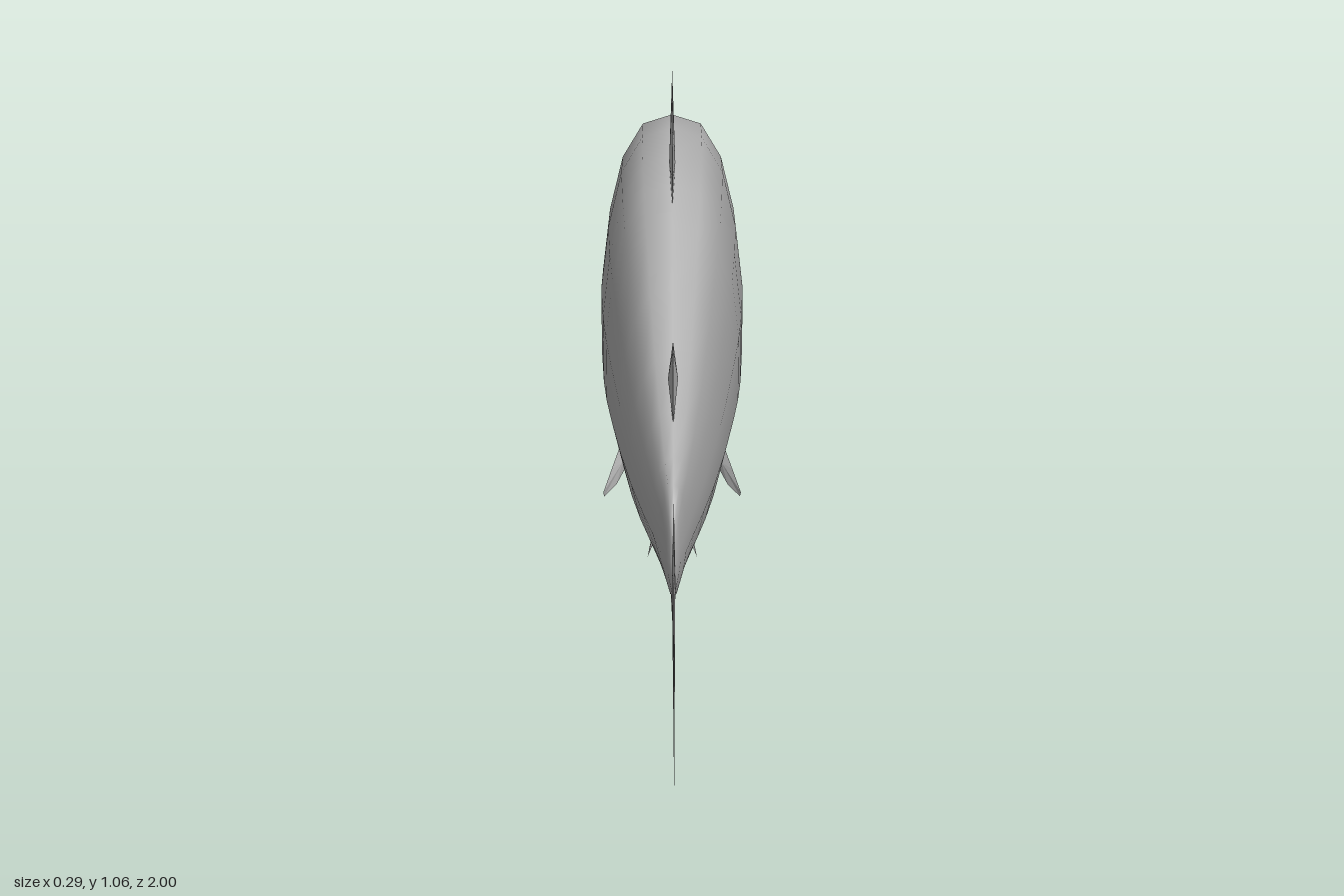
import * as THREE from 'three';
import { toCreasedNormals } from 'three/addons/utils/BufferGeometryUtils.js';

// Half cross-section: [share of half width, share of height], top to bottom
const HALF = [[0, 1], [0.41, 0.976], [0.7, 0.887], [0.89, 0.745], [1, 0.58],
  [1, 0.406], [0.79, 0.246], [0.54, 0.14], [0.25, 0.026], [0, 0]];
const SECTION = [...HALF, ...HALF.slice(1, -1).reverse().map(([x, y]) => [-x, y])];

// Body stations from snout to tail: [z, top, bottom, half width]
const STATIONS = [
  [-0.998, 0.395, 0.345, 0.022], [-0.98, 0.415, 0.292, 0.05], [-0.95, 0.457, 0.245, 0.07],
  [-0.9, 0.535, 0.198, 0.09], [-0.85, 0.603, 0.165, 0.105], [-0.8, 0.662, 0.14, 0.116],
  [-0.72, 0.737, 0.106, 0.128], [-0.6, 0.818, 0.075, 0.14], [-0.47, 0.87, 0.052, 0.146],
  [-0.34, 0.887, 0.043, 0.147], [-0.2, 0.88, 0.053, 0.14], [-0.1, 0.856, 0.08, 0.132],
  [0, 0.818, 0.113, 0.12], [0.15, 0.75, 0.172, 0.1], [0.3, 0.681, 0.238, 0.077],
  [0.42, 0.633, 0.292, 0.056], [0.53, 0.597, 0.342, 0.036], [0.6, 0.582, 0.36, 0.022],
  [0.64, 0.55, 0.39, 0.012], [0.655, 0.52, 0.42, 0.006]];

// Skin a row of closed rings, capped at both ends
function loft(rings, frontTip, backTip) {
  const n = rings[0].length, last = rings.length - 1;
  const pos = [...rings.flat(), frontTip, backTip].flat(), index = [];
  const front = rings.length * n, back = front + 1;
  for (let j = 0; j < n; j++) {
    const k = (j + 1) % n;
    for (let i = 0; i < last; i++) {
      const a = i * n + j, b = i * n + k;
      index.push(a, a + n, b, b, a + n, b + n);
    }
    index.push(front, j, k, back, last * n + k, last * n + j);
  }
  const g = new THREE.BufferGeometry();
  g.setAttribute('position', new THREE.Float32BufferAttribute(pos, 3));
  g.setIndex(index);
  g.computeVertexNormals();
  return g;
}

const ring = ([z, top, bottom, w]) =>
  SECTION.map(([x, t]) => [x * w, bottom + (top - bottom) * t, z]);

// Thin lens-shaped fin: a fan from a raised centre on each side of the outline
function finGeometry(outline, centre, bulge) {
  const pos = [];
  for (const s of [1, -1]) {
    const c = centre.map((v, i) => v + s * bulge[i]);
    outline.forEach((p, i) => {
      const q = outline[(i + 1) % outline.length];
      pos.push(...c, ...(s > 0 ? p : q), ...(s > 0 ? q : p));
    });
  }
  const g = new THREE.BufferGeometry();
  g.setAttribute('position', new THREE.Float32BufferAttribute(pos, 3));
  g.computeVertexNormals();
  return g;
}

export function createModel() {
  const fish = new THREE.Group();
  fish.name = 'fish';
  const grey = new THREE.MeshStandardMaterial({ color: 0xb4b4b4, side: THREE.DoubleSide });
  grey.name = 'grey';
  const add = (name, geometry) => {
    const m = new THREE.Mesh(geometry, grey);
    m.name = name;
    fish.add(m);
    return m;
  };

  // Body
  add('body', loft(STATIONS.map(ring), [0, 0.375, -1], [0, 0.47, 0.662]));

  // Lower jaw: slightly swollen shell below the mouth line
  const jawRings = STATIONS.slice(0, 6).map(s =>
    ring(s).map(([x, y, z]) => [x * 1.05, Math.min(y, 0.375) - 0.002, z]));
  add('lowerJaw', toCreasedNormals(loft(jawRings, [0, 0.36, -1], [0, 0.28, -0.8]), 0.9));

  // Flat fins on the centre line: outline as [z, y]
  const centreFin = (name, outline, [cz, cy], thick) =>
    add(name, finGeometry(outline.map(([z, y]) => [0, y, z]), [0, cy, cz], [thick, 0, 0]));

  centreFin('dorsalFin', [[-0.05, 0.83], [-0.03, 0.89], [-0.08, 0.98], [-0.13, 1.035],
    [-0.18, 1.062], [-0.2, 1.052], [-0.255, 0.995], [-0.3, 0.885], [-0.28, 0.85]], [-0.16, 0.88], 0.006);
  centreFin('adiposeFin', [[0.45, 0.62], [0.44, 0.655], [0.41, 0.72], [0.385, 0.735],
    [0.335, 0.727], [0.315, 0.7], [0.32, 0.65]], [0.37, 0.67], 0.009);
  centreFin('analFin', [[0.48, 0.33], [0.5, 0.258], [0.13, 0.003], [0.04, 0.035],
    [0, 0.115], [0.1, 0.19], [0.3, 0.28]], [0.2, 0.17], 0.006);
  centreFin('tailFin', [[0.62, 0.54], [0.65, 0.56], [0.72, 0.613], [0.86, 0.68], [1, 0.712],
    [0.93, 0.585], [0.84, 0.472], [0.93, 0.355], [1, 0.225], [0.87, 0.255],
    [0.75, 0.305], [0.65, 0.375], [0.62, 0.4]], [0.7, 0.47], 0.003);

  // Paired parts
  for (const [side, s] of [['left', 1], ['right', -1]]) {
    const mirror = pts => pts.map(([x, y, z]) => [s * x, y, z]);

    add(side + 'PectoralFin', finGeometry(mirror([
      [0.072, 0.165, -0.47], [0.105, 0.15, -0.42], [0.13, 0.115, -0.33], [0.147, 0.088, -0.275],
      [0.145, 0.076, -0.28], [0.12, 0.078, -0.33], [0.09, 0.1, -0.41], [0.068, 0.14, -0.46]]),
    [s * 0.11, 0.114, -0.37], [s * 0.003, 0.003, 0]));

    const pelvic = [[-0.145, 0.005], [-0.18, 0.06], [-0.24, 0.075], [-0.245, 0.052], [-0.2, 0.022]];
    add(side + 'PelvicFin', finGeometry(
      mirror(pelvic.map(([z, y]) => [0.052 - (y - 0.005) * 0.5, y, z])),
      [s * 0.034, 0.042, -0.2], [s * 0.003, 0.0015, 0]));

    // Eye: flattened ball set into the head
    const eye = add(side + 'Eye', new THREE.SphereGeometry(0.057, 20, 14));
    eye.scale.set(0.42, 1, 1);
    eye.position.set(s * 0.1, 0.607, -0.718);
    eye.rotation.set(0, s * 0.2, s * 0.2);
  }
  return fish;
}
